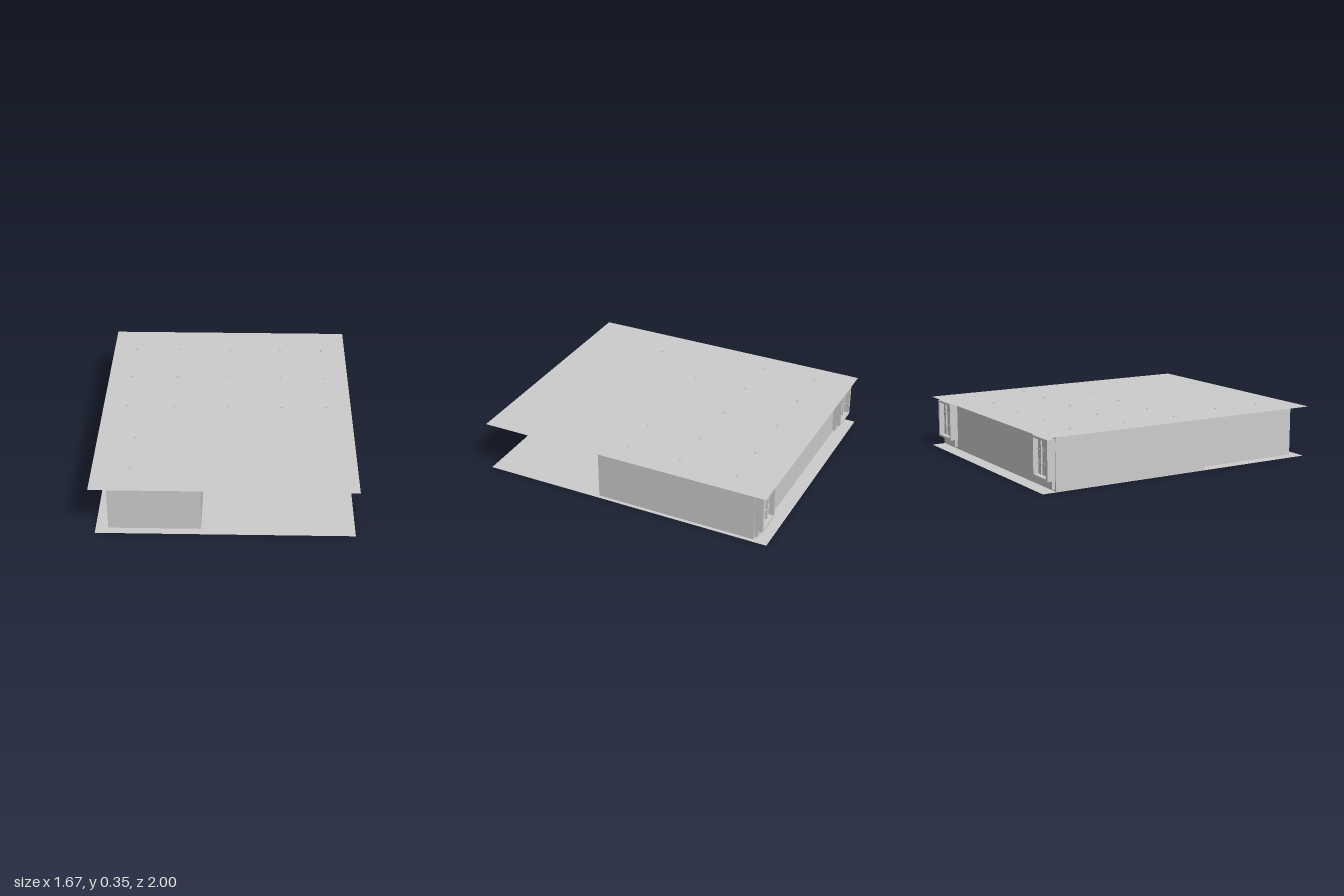
import * as THREE from 'three';

const grey = new THREE.MeshStandardMaterial({ color: 0xcccccc, side: THREE.DoubleSide });
const HEIGHT = 0.34;

function add(parent, name, geometry, x, y, z) {
  const mesh = new THREE.Mesh(geometry, grey);
  mesh.name = name;
  mesh.position.set(x, y, z);
  parent.add(mesh);
  return mesh;
}

// Box given by its limits on each axis
function block(parent, name, x0, x1, y0, y1, z0, z1) {
  return add(parent, name, new THREE.BoxGeometry(x1 - x0, y1 - y0, z1 - z0),
    (x0 + x1) / 2, (y0 + y1) / 2, (z0 + z1) / 2);
}

// Thin horizontal sheet
function sheet(parent, name, x0, x1, z0, z1, y) {
  const geometry = new THREE.PlaneGeometry(x1 - x0, z1 - z0).rotateX(-Math.PI / 2);
  return add(parent, name, geometry, (x0 + x1) / 2, y, (z0 + z1) / 2);
}

// Window on the back wall; x runs from 0 to its width, z = 0 is the wall face
function createWindow(width) {
  const win = new THREE.Group();
  const bottom = 0.065, top = 0.32, depth = 0.055, post = 0.016;

  // Outer frame
  for (const x of [0, width - post]) block(win, 'windowPost', x, x + post, bottom, top, -depth, 0);
  block(win, 'windowHead', post, width - post, top - 0.014, top, -depth, 0);
  block(win, 'windowLedge', post, width - post, bottom, bottom + 0.014, -depth, 0);

  // Recessed pane with glazing bars
  block(win, 'pane', post, width - post, bottom + 0.014, top - 0.014, -0.02, 0);
  for (const t of [1 / 3, 2 / 3]) {
    const x = width * t, y = bottom + (top - bottom) * t;
    block(win, 'uprightBar', x - 0.004, x + 0.004, bottom + 0.014, top - 0.014, -0.03, -0.02);
    block(win, 'crossBar', post, width - post, y - 0.003, y + 0.003, -0.026, -0.02);
  }

  // Apron panel under the window
  block(win, 'apron', 0.01, width - 0.01, 0.012, bottom, -0.02, 0);
  return win;
}

export function createModel() {
  const model = new THREE.Group();
  model.name = 'building';

  // Floor and roof slabs
  sheet(model, 'floor', -0.815, 0.82, -1, 0.99, 0);
  sheet(model, 'roof', -0.84, 0.83, -0.99, 1, HEIGHT);

  // Walls follow the floor plan: main hall, narrow passage and front room
  const plan = [
    [-0.805, -0.905], [-0.805, 0.18], [-0.735, 0.18], [-0.735, 0.935], [-0.15, 0.935],
    [-0.15, 0.575], [-0.445, 0.575], [-0.445, 0.18], [0.795, 0.18], [0.795, -0.905],
  ];
  const walls = new THREE.Group();
  walls.name = 'walls';
  model.add(walls);
  plan.forEach(([x0, z0], i) => {
    const [x1, z1] = plan[(i + 1) % plan.length];
    const dx = x1 - x0, dz = z1 - z0;
    const wall = add(walls, 'wall', new THREE.PlaneGeometry(Math.hypot(dx, dz), HEIGHT),
      (x0 + x1) / 2, HEIGHT / 2, (z0 + z1) / 2);
    wall.rotation.y = Math.atan2(-dz, dx);
  });

  // Windows at both ends of the back wall
  for (const [name, x] of [['rightWindow', -0.8], ['leftWindow', 0.595]]) {
    const win = createWindow(0.195);
    win.name = name;
    win.position.set(x, 0, -0.905);
    model.add(win);
  }

  // Ceiling lamp fittings poking through the roof
  const lamp = (x, z, radius) => add(model, 'lampFitting',
    new THREE.CylinderGeometry(radius * 0.7, radius, 0.014, 12), x, HEIGHT, z);
  for (const z of [-0.73, -0.345, 0.035])
    for (const x of [-0.675, -0.355, 0.005, 0.37, 0.665]) lamp(x, z, x === 0.005 && z > 0 ? 0.009 : 0.012);
  for (const z of [0.42, 0.758]) lamp(-0.592, z, 0.011);

  return model;
}
